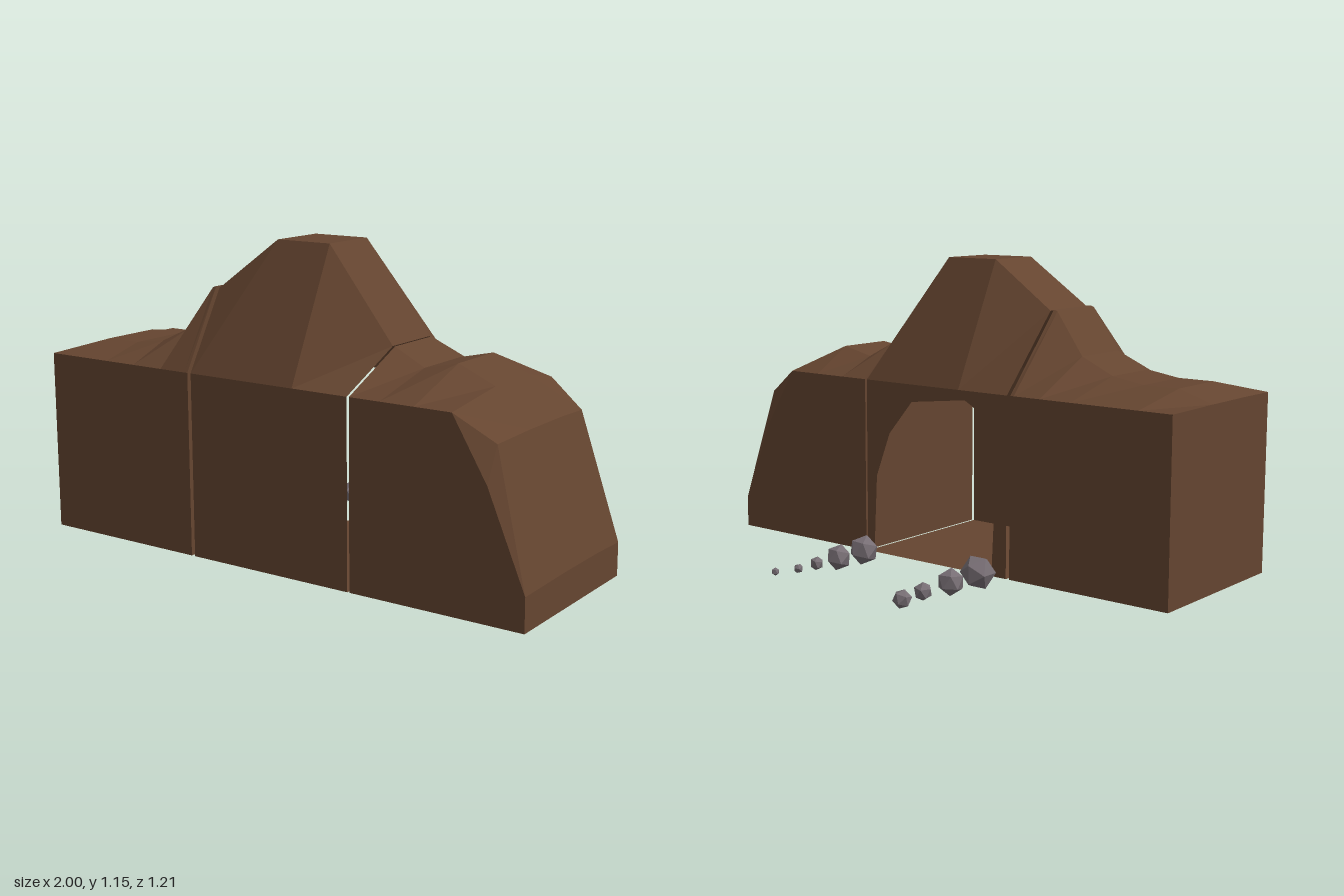
import * as THREE from 'three';

const FRONT = 0.6, BACK = -0.06, BASE = 0.03, EDGE = 0.695;

const rock = new THREE.MeshStandardMaterial({ color: 0x654530, flatShading: true, side: THREE.DoubleSide });
const stone = new THREE.MeshStandardMaterial({ color: 0x776e74, flatShading: true });

// Cross-section at x as a loop of [z, y]: front base, over the ridge, back base.
// The shoulder is an extra bevel between the wall edge and the ridge.
function section(x, top, zBack, zFront, edge = EDGE, shoulder = [FRONT, edge, BACK]) {
  const [sf, sy, sb] = shoulder;
  const loop = [
    [FRONT, BASE], [FRONT, edge], [sf, sy], [zFront, top],
    [zBack, top], [sb, sy], [BACK, edge], [BACK, BASE],
  ];
  return loop.map(([z, y]) => [x, y, z]);
}

// Skin the sections from low x to high x; hollow blocks have no ends and no back wall.
function loft(sections, hollow = false) {
  const n = 8, index = [];
  for (let s = 0; s < sections.length - 1; s++) {
    for (let i = 0; i < n; i++) {
      if (hollow && i === 6) continue;
      const a = s * n + i, b = s * n + (i + 1) % n, c = b + n, d = a + n;
      index.push(a, d, c, a, c, b);
    }
  }
  if (!hollow) {
    const e = (sections.length - 1) * n;
    for (let i = 1; i < n - 1; i++) {
      index.push(0, i, i + 1, e, e + i + 1, e + i);
    }
  }
  const geo = new THREE.BufferGeometry();
  geo.setAttribute('position', new THREE.Float32BufferAttribute(sections.flat(2), 3));
  geo.setIndex(index);
  geo.computeVertexNormals();
  return geo;
}

function add(parent, name, geometry, material) {
  const mesh = new THREE.Mesh(geometry, material);
  mesh.name = name;
  parent.add(mesh);
  return mesh;
}

export function createModel() {
  const model = new THREE.Group();
  model.name = 'mountainCave';

  // Low ridge on the -x side
  const low = [[-1, 0.697], [-0.87, 0.74], [-0.73, 0.74], [-0.6, 0.76], [-0.47, 0.82], [-0.36, 0.975], [-0.345, 0.98]];
  add(model, 'rightRidge', loft(low.map(([x, y]) => section(x, y, 0.2, 0.435))), rock);

  // Sloping ridge on the +x side, falling away to the end
  add(model, 'leftRidge', loft([
    section(0.342, 0.82, 0.1, 0.33),
    section(0.46, 0.76, 0.1, 0.33),
    section(0.59, 0.79, 0.1, 0.33),
    section(0.73, 0.73, 0.1, 0.33),
    section(0.86, 0.605, 0.1, 0.33, 0.48, [0.54, 0.6, -0.035]),
    section(1, 0.155, 0.1, 0.33, 0.15),
  ]), rock);

  // Hollow peak in the middle
  const peak = new THREE.Group();
  peak.name = 'peak';
  model.add(peak);
  add(peak, 'peakShell', loft([
    section(-0.33, 0.975, 0.2, 0.435),
    section(-0.11, 1.155, 0.16, 0.38),
    section(0.11, 1.155, 0.16, 0.38),
    section(0.333, 0.82, 0.1, 0.33),
  ], true), rock);

  // Back wall with the cave mouth
  const wall = new THREE.Shape([
    [-0.33, BASE], [-0.33, EDGE], [0.333, EDGE], [0.333, BASE], [0.3, BASE],
    [0.285, 0.33], [0.22, 0.5], [0.11, 0.63], [-0.14, 0.66], [-0.25, 0.6],
    [-0.28, 0.35], [-0.265, BASE],
  ].map(([x, y]) => new THREE.Vector2(x, y)));
  const mouth = add(peak, 'caveMouth', new THREE.ShapeGeometry(wall), rock);
  mouth.position.z = BACK;

  // Two rows of shrinking stones leading out of the cave: [x, z, radius]
  const stones = new THREE.Group();
  stones.name = 'pathStones';
  model.add(stones);
  [
    [-0.27, -0.145, 0.065], [-0.275, -0.305, 0.05], [-0.277, -0.458, 0.034], [-0.283, -0.573, 0.034],
    [0.262, -0.163, 0.057], [0.26, -0.303, 0.049], [0.262, -0.418, 0.026], [0.262, -0.512, 0.018], [0.296, -0.594, 0.015],
  ].forEach(([x, z, r], i) => {
    const s = add(stones, 'stone', new THREE.IcosahedronGeometry(r, 0), stone);
    s.position.set(x, 0.063, z);
    s.rotation.set(i * 1.3, i * 0.9, i * 0.5);
  });

  return model;
}
